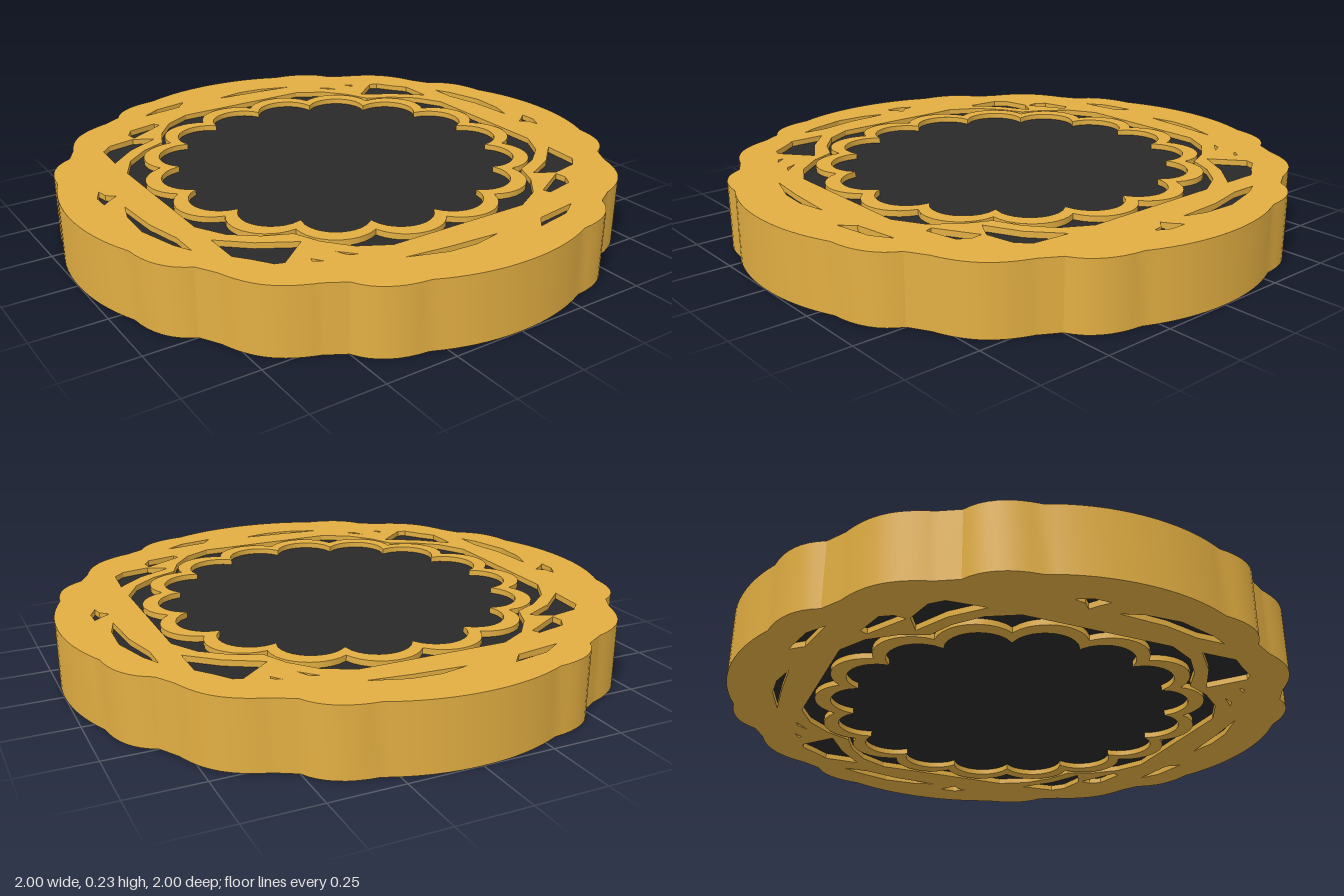
import * as THREE from 'three';
import { toCreasedNormals } from 'three/addons/utils/BufferGeometryUtils.js';

const HEIGHT = 0.235;
const RECESS = 0.02;

const gold = new THREE.MeshStandardMaterial({ color: 0xe2ae42 });
gold.name = 'gold';
const charcoal = new THREE.MeshStandardMaterial({ color: 0x292929 });
charcoal.name = 'charcoal';

// Plan coordinates: x to the right, y towards the back.
const turn = ([x, y], q) => {
  for (let i = 0; i < q; i++) [x, y] = [y, -x];
  return [x, y];
};
const toPath = (pts) => new THREE.Path(pts.map(([x, y]) => new THREE.Vector2(x, y)));

function extrude(shape, name) {
  const geo = new THREE.ExtrudeGeometry(shape, { depth: HEIGHT, bevelEnabled: false });
  geo.rotateX(-Math.PI / 2);
  const mesh = new THREE.Mesh(toCreasedNormals(geo, 0.3), gold);
  mesh.name = name;
  return mesh;
}

// Lobed outer edge: control and end point of each curve in one quarter
const QUARTER = [
  [[0.16, 1], [0.3, 0.936]], [[0.45, 0.925], [0.5, 0.82]], [[0.535, 0.8], [0.57, 0.78]],
  [[0.655, 0.753], [0.704, 0.704]], [[0.753, 0.655], [0.78, 0.57]],
  [[0.8, 0.535], [0.82, 0.5]], [[0.925, 0.45], [0.936, 0.3]], [[1, 0.16], [1, 0]],
];

// Window around the scalloped ring, one quarter
const WINDOW = [[-0.26, 0.7], [0.26, 0.7], [0.36, 0.645], [0.43, 0.56], [0.47, 0.47],
  [0.56, 0.43], [0.645, 0.36]];

// Pierced slits, each repeated by a half turn
const SLITS = [
  [[-0.4, 0.78], [-0.33, 0.825], [-0.2, 0.85], [-0.24, 0.805]],
  [[-0.05, 0.815], [0.05, 0.835], [0.15, 0.828], [0.28, 0.785], [0.13, 0.803]],
  [[0.38, 0.695], [0.41, 0.68], [0.43, 0.64]],
  [[0.49, 0.675], [0.52, 0.655], [0.515, 0.64]],
  [[0.78, 0.4], [0.81, 0.34], [0.85, 0.2], [0.845, 0.08], [0.82, 0], [0.81, 0.17], [0.78, 0.3]],
  [[0.81, -0.095], [0.84, -0.075], [0.87, -0.05], [0.87, -0.11], [0.845, -0.16], [0.838, -0.12]],
  [[0.48, 0.53], [0.59, 0.62], [0.62, 0.61], [0.66, 0.55], [0.7, 0.5], [0.7, 0.37], [0.6, 0.46]],
  [[0.7, -0.37], [0.69, -0.5], [0.65, -0.54], [0.55, -0.56], [0.48, -0.52], [0.6, -0.46]],
  [[0.4, -0.65], [0.54, -0.57], [0.545, -0.61], [0.52, -0.65], [0.41, -0.675]],
];

function makeFrame() {
  const outline = new THREE.Path();
  outline.moveTo(0, 1);
  for (let q = 0; q < 4; q++) {
    for (const [c, p] of QUARTER) outline.quadraticCurveTo(...turn(c, q), ...turn(p, q));
  }
  // Counter-clockwise outline, so that the walls of the holes face inwards
  const shape = new THREE.Shape(outline.getPoints(8).reverse());
  const window = [];
  for (let q = 0; q < 4; q++) window.push(...WINDOW.map((p) => turn(p, q)));
  shape.holes.push(toPath(window));
  for (const slit of SLITS) {
    for (const q of [0, 2]) shape.holes.push(toPath(slit.map((p) => turn(p, q))));
  }
  return extrude(shape, 'lobedFrame');
}

// Outline of sixteen equal arcs whose centres lie on a circle of radius d
function scallops(d, arcRadius) {
  const pts = [], lobes = 16, steps = 12, span = (2 * Math.PI) / lobes;
  for (let i = 0; i < lobes * steps; i++) {
    const phi = ((i % steps) / steps - 0.5) * span;
    const r = d * Math.cos(phi) + Math.sqrt(arcRadius ** 2 - (d * Math.sin(phi)) ** 2);
    const a = (i / steps) * span;
    pts.push([r * Math.cos(a), r * Math.sin(a)]);
  }
  return pts;
}

function makeRing() {
  const shape = new THREE.Shape(toPath(scallops(0.56, 0.137)).getPoints());
  shape.holes.push(toPath(scallops(0.529, 0.113)));
  return extrude(shape, 'scallopedRing');
}

export function createModel() {
  const model = new THREE.Group();
  model.name = 'medallion';
  model.add(makeFrame(), makeRing());

  // Dark core, recessed from both faces
  const core = new THREE.Mesh(new THREE.CylinderGeometry(0.92, 0.92, HEIGHT - 2 * RECESS, 64), charcoal);
  core.name = 'core';
  core.position.y = HEIGHT / 2;
  model.add(core);
  return model;
}
